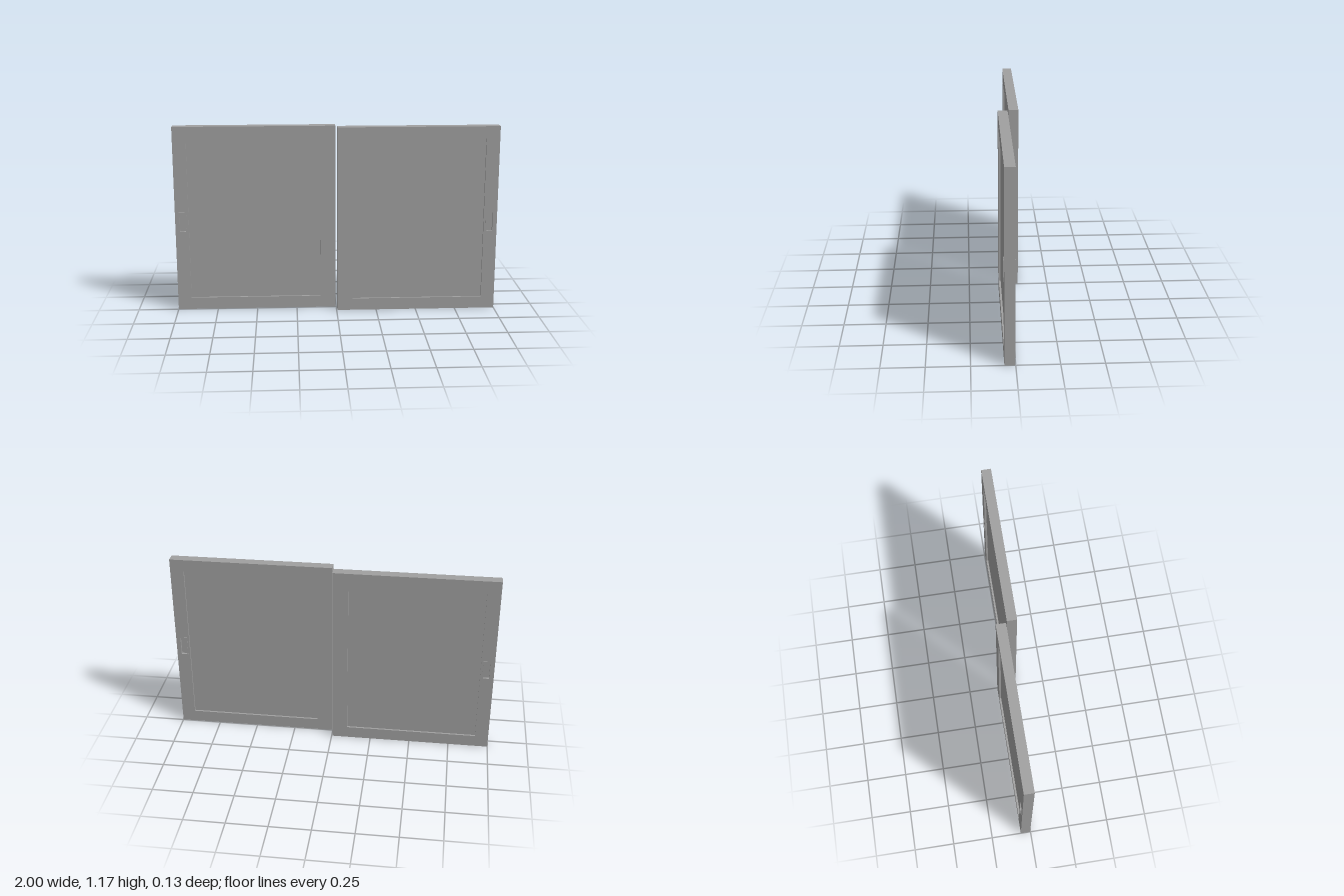
import * as THREE from 'three';

const H = 1.168, X0 = 0.005, X1 = 1, T = 0.06, RECESS = 0.012;
const PANEL = [0.1, 0.075, 0.917, 1.092];
const PULL = [0.93, 0.503, 0.978, 0.632];
const RIM = 0.006;

function trace(path, [x0, y0, x1, y1]) {
  path.moveTo(x0, y0);
  path.lineTo(x1, y0);
  path.lineTo(x1, y1);
  path.lineTo(x0, y1);
  path.closePath();
  return path;
}

// Flat plate with rectangular openings
function plate(outer, holes, depth) {
  const shape = trace(new THREE.Shape(), outer);
  for (const h of holes) shape.holes.push(trace(new THREE.Path(), h));
  return new THREE.ExtrudeGeometry(shape, { depth, bevelEnabled: false });
}

function createDoor(material) {
  const door = new THREE.Group();
  const add = (name, geometry, z) => {
    const mesh = new THREE.Mesh(geometry, material);
    mesh.name = name;
    mesh.position.z = z;
    door.add(mesh);
  };
  const outer = [X0, 0, X1, H];
  const pocket = [PULL[0] + RIM, PULL[1] + RIM, PULL[2] - RIM, PULL[3] - RIM];
  const half = T / 2;

  // Core forms the recessed panel on both sides
  add('doorPanel', plate(outer, [], T - 2 * RECESS), -half + RECESS);

  // Frame and finger pull on each face
  for (const side of [1, -1]) {
    const label = side > 0 ? 'front' : 'back';
    add(label + 'Frame', plate(outer, [PANEL, pocket], RECESS), side > 0 ? half - RECESS : -half);
    add(label + 'PullRim', plate(PULL, [pocket], 0.003), side > 0 ? half : -half - 0.003);
  }
  return door;
}

export function createModel() {
  const model = new THREE.Group();
  model.name = 'slidingDoors';
  const grey = new THREE.MeshStandardMaterial({ color: 0xa0a0a0 });
  grey.name = 'grey';

  // Two overlapping tracks, one door turned half a turn from the other
  ['leftDoor', 'rightDoor'].forEach((name, i) => {
    const door = createDoor(grey);
    door.name = name;
    door.position.z = i ? -0.033 : 0.033;
    door.rotation.y = i * Math.PI;
    model.add(door);
  });
  return model;
}
